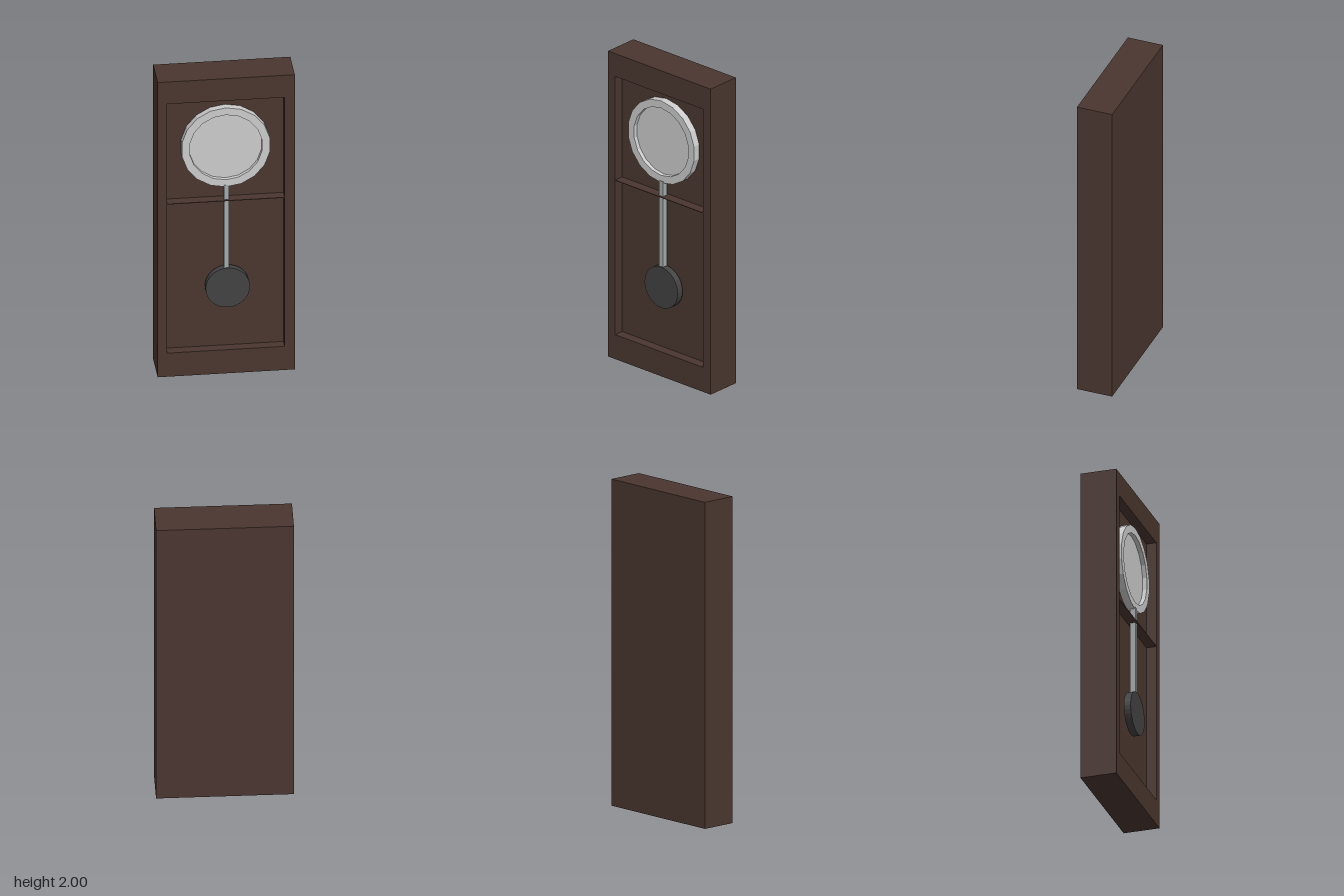
import * as THREE from 'three';

const material = (color) => new THREE.MeshStandardMaterial({ color, flatShading: true });

function add(group, name, geometry, mat, x = 0, y = 0, z = 0) {
  const mesh = new THREE.Mesh(geometry, mat);
  mesh.name = name;
  mesh.position.set(x, y, z);
  group.add(mesh);
  return mesh;
}

// Disc facing +z, from its back plane to its front plane
function disc(radius, back, front, sides) {
  return new THREE.CylinderGeometry(radius, radius, front - back, sides)
    .rotateX(Math.PI / 2)
    .translate(0, 0, (back + front) / 2);
}

function rectangle(Type, x0, x1, y0, y1) {
  const r = new Type();
  r.moveTo(x0, y0);
  r.lineTo(x1, y0);
  r.lineTo(x1, y1);
  r.lineTo(x0, y1);
  r.closePath();
  return r;
}

export function createModel() {
  const clock = new THREE.Group();
  clock.name = 'pendulumClock';
  const wood = material(0x4a362f);
  const pale = material(0xcccccc);
  const metal = material(0xa6abab);
  const dark = material(0x424242);

  const back = -0.113, floor = 0.05, front = 0.112;
  const left = -0.355, right = 0.35;

  // Case: solid back half, and a front frame around the recess
  add(clock, 'caseBack', new THREE.BoxGeometry(0.823, 2, floor - back), wood, 0, 1, (floor + back) / 2);
  const outline = rectangle(THREE.Shape, -0.4115, 0.4115, 0, 2);
  outline.holes.push(rectangle(THREE.Path, left, right, 0.16, 1.85));
  add(clock, 'caseFrame',
    new THREE.ExtrudeGeometry(outline, { depth: front - floor, bevelEnabled: false }), wood, 0, 0, floor);

  // Thin shelf dividing the recess
  add(clock, 'shelf', new THREE.BoxGeometry(right - left, 0.004, front - floor), wood,
    (left + right) / 2, 1.17, (front + floor) / 2);

  // Dial: raised faceted ring with a sunken face
  const dial = new THREE.Group();
  dial.name = 'dial';
  dial.position.set(0, 1.525, 0);
  clock.add(dial);
  const sides = 18;
  const profile = [[0.22, floor], [0.268, floor], [0.268, 0.096], [0.22, 0.096], [0.22, floor]]
    .map(([r, h]) => new THREE.Vector2(r, h));
  add(dial, 'dialRing', new THREE.LatheGeometry(profile, sides).rotateX(Math.PI / 2), pale);
  add(dial, 'dialFace', disc(0.22, floor, 0.07, sides), pale);

  // Pendulum
  const pendulum = new THREE.Group();
  pendulum.name = 'pendulum';
  clock.add(pendulum);
  add(pendulum, 'pendulumRod', new THREE.BoxGeometry(0.03, 0.59, 0.034), metal, 0.003, 0.975, 0.083);
  add(pendulum, 'pendulumBob', disc(0.133, 0.064, 0.107, 32), dark, 0.01, 0.578, 0);

  return clock;
}
